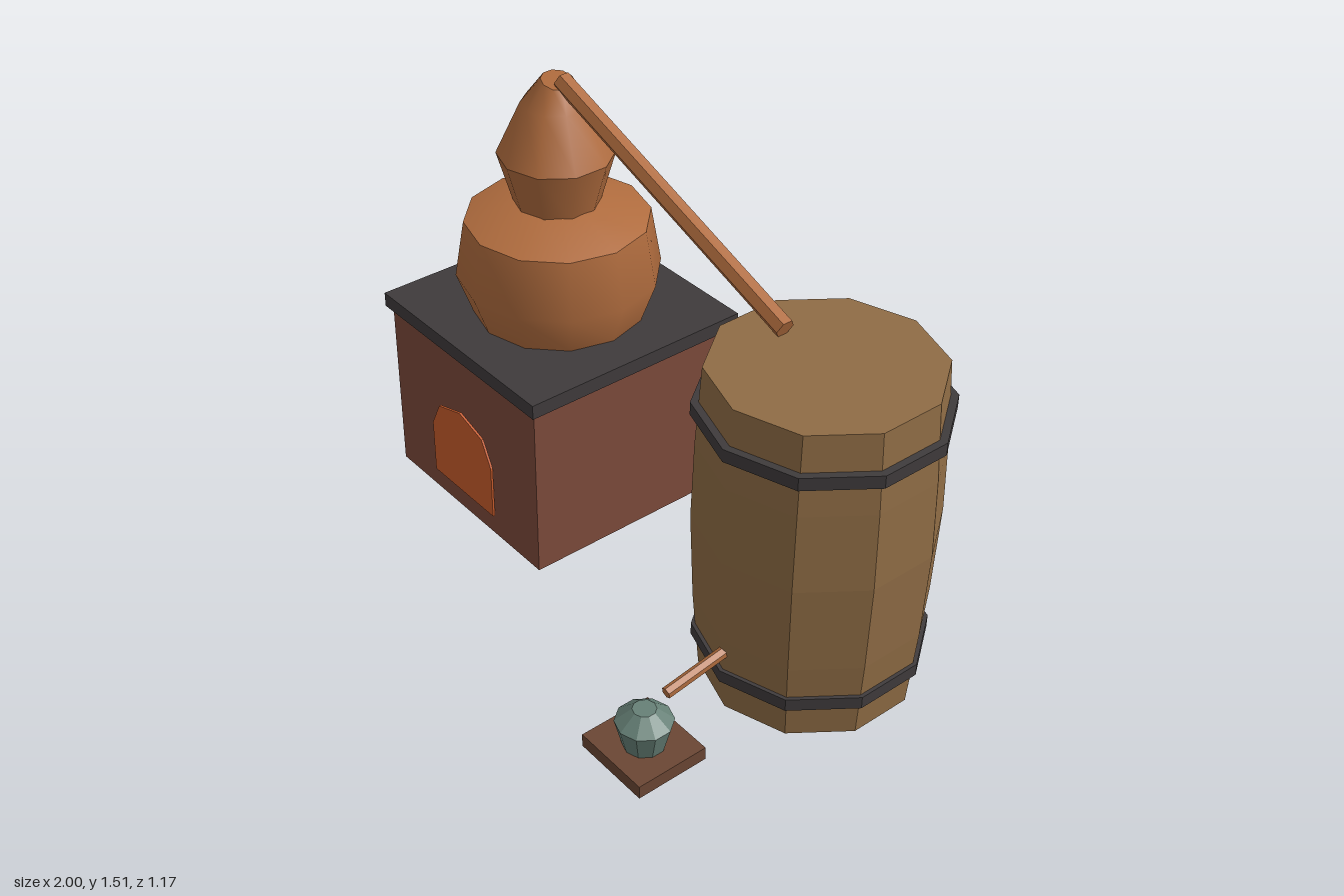
import * as THREE from 'three';

const mat = (name, color, opts = {}) => {
  const m = new THREE.MeshStandardMaterial({ color, ...opts });
  m.name = name;
  return m;
};

export function createModel() {
  const root = new THREE.Group();
  root.name = 'still';

  const copper = mat('copper', 0xb06c3e, { side: THREE.DoubleSide });
  const copperPipe = mat('copperPipe', 0xb06c3e, { flatShading: true });
  const wood = mat('barrelWood', 0x8f6c45, { flatShading: true });
  const iron = mat('darkIron', 0x3f3b3c, { flatShading: true });
  const brick = mat('brick', 0x7c4a3b);
  const fire = mat('fireGlow', 0xc85c2c);
  const board = mat('boardWood', 0x6a4633);
  const glass = mat('jarGreen', 0x668076, { flatShading: true });

  const add = (name, geo, material, x = 0, y = 0, z = 0) => {
    const m = new THREE.Mesh(geo, material);
    m.name = name;
    m.position.set(x, y, z);
    root.add(m);
    return m;
  };
  const lathe = (pts, sides) =>
    new THREE.LatheGeometry(pts.map(([r, y]) => new THREE.Vector2(r, y)), sides);
  // Hexagonal pipe between two points
  const pipe = (name, a, b, r) => {
    const p = new THREE.Vector3(...a), q = new THREE.Vector3(...b);
    const d = q.clone().sub(p);
    const m = add(name, new THREE.CylinderGeometry(r, r, d.length(), 6), copperPipe);
    m.position.copy(p).add(q).multiplyScalar(0.5);
    m.quaternion.setFromUnitVectors(new THREE.Vector3(0, 1, 0), d.normalize());
    return m;
  };

  const potX = -0.59, barrelX = 0.64, midZ = -0.175;

  // Brick furnace with iron plate
  add('furnace', new THREE.BoxGeometry(0.78, 0.62, 0.78), brick, potX, 0.31, -0.17);
  add('furnacePlate', new THREE.BoxGeometry(0.82, 0.05, 0.825), iron, potX, 0.645, midZ);

  // Arched fire opening
  const arch = new THREE.Shape([
    [-0.165, 0.09], [0.165, 0.09], [0.165, 0.285], [0.12, 0.375],
    [0, 0.412], [-0.12, 0.375], [-0.165, 0.285],
  ].map(([x, y]) => new THREE.Vector2(x, y)));
  add('fireOpening', new THREE.ExtrudeGeometry(arch, { depth: 0.008, bevelEnabled: false }),
    fire, potX, 0, 0.23);

  // Copper pot: rounded body and sloping shoulder
  add('potBody', lathe([[0.283, 0.67], [0.333, 0.81], [0.3, 1.003]], 12), copper, potX, 0, midZ);
  add('potShoulder', lathe([[0.3, 1.003], [0.135, 1.065], [0, 1.065]], 12), copper, potX, 0, midZ);

  // Still head: flared neck, then a cone whose tip leans towards the pipe
  add('headNeck', lathe([[0.14, 1.062], [0.188, 1.23]], 10), copper, potX, 0, midZ);
  const lean = (geo) => {
    const p = geo.attributes.position;
    for (let i = 0; i < p.count; i++) {
      if (p.getY(i) < 1.45) continue;
      const x = p.getX(i);
      p.setXY(i, x + 0.017, p.getY(i) - x * 0.22);
    }
    geo.computeBoundingSphere();
    return geo;
  };
  add('headCone', lean(lathe([[0.188, 1.23], [0.108, 1.4], [0.053, 1.478]], 10)), copper, potX, 0, midZ);
  add('headTip', lean(lathe([[0.053, 1.478], [0, 1.478]], 10)), copper, potX, 0, midZ);

  // Vapour pipe to the barrel
  pipe('vapourPipe', [-0.55, 1.485, midZ], [0.467, 1.114, midZ], 0.032);

  // Barrel with ten flat staves and two hoops
  add('barrel', lathe([
    [0, 0], [0.333, 0], [0.355, 0.27], [0.367, 0.57], [0.36, 0.83], [0.344, 1.09], [0, 1.09],
  ], 10), wood, barrelX, 0, midZ);
  for (const [name, y, r] of [['upperHoop', 0.952, 0.375], ['lowerHoop', 0.136, 0.358]]) {
    add(name, new THREE.CylinderGeometry(r, r, 0.042, 10), iron, barrelX, y, midZ);
  }

  // Spout, stand and collecting jar
  pipe('spout', [barrelX, 0.232, 0.12], [barrelX, 0.19, 0.386], 0.018);
  add('jarStand', new THREE.BoxGeometry(0.263, 0.045, 0.244), board, 0.636, 0.0225, 0.464);
  add('jar', lathe([[0, 0.045], [0.065, 0.045], [0.088, 0.135], [0.036, 0.179], [0, 0.179]], 10),
    glass, barrelX, 0, 0.465);

  return root;
}
